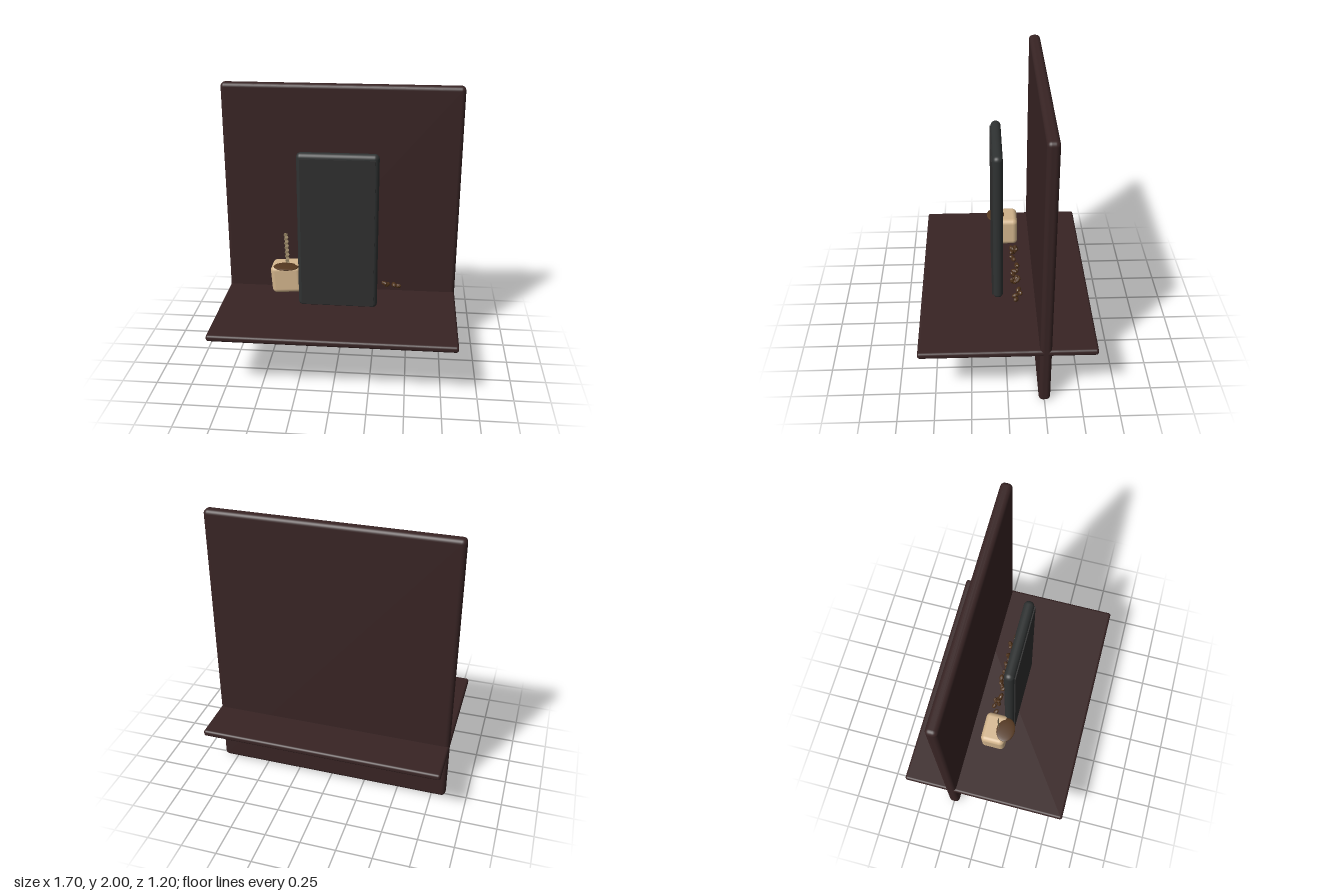
import * as THREE from 'three';
import { RoundedBoxGeometry } from 'three/addons/geometries/RoundedBoxGeometry.js';

const mat = (name, color, extra = {}) => {
  const m = new THREE.MeshStandardMaterial({ color, ...extra });
  m.name = name;
  return m;
};

export function createModel() {
  const model = new THREE.Group();
  const wood = mat('dark wood', 0x382424);
  const body = mat('charcoal body', 0x2f3232);
  const glass = mat('dark glass', 0x2f2f2f);
  const tan = mat('tan cup', 0xd2b48c);
  const coffee = mat('coffee brown', 0x553820);
  const roast = mat('roasted bean', 0x4c3018, { flatShading: true });
  const steamMat = mat('pale steam', 0xa08c6a, { side: THREE.DoubleSide });

  const add = (name, geometry, material, x, y, z, parent = model) => {
    const mesh = new THREE.Mesh(geometry, material);
    mesh.name = name;
    mesh.position.set(x, y, z);
    parent.add(mesh);
    return mesh;
  };
  const slab = (w, h, d, r) => new RoundedBoxGeometry(w, h, d, 4, r);

  // Crossing panels
  add('backWall', slab(1.7, 2, 0.08, 0.03), wood, 0, 1, -0.25);
  add('tableTop', slab(1.7, 0.046, 1.2, 0.018), wood, 0, 0.432, 0);

  // Upright tablet with a raised screen
  add('tabletBody', slab(0.568, 1.15, 0.07, 0.034), body, -0.002, 1.018, 0.051);
  add('tabletScreen', new THREE.BoxGeometry(0.518, 1.09, 0.02), glass, -0.002, 1.011, 0.084);

  // Slightly tilted soft square cup
  const cup = add('cup', slab(0.222, 0.21, 0.175, 0.035), tan, -0.374, 0.633, -0.023);
  cup.rotation.z = 0.07;

  // Coffee surface, a flattened ellipsoid
  const liquid = add('coffeeSurface', new THREE.SphereGeometry(1, 32, 12), coffee, -0.375, 0.737, 0.053);
  liquid.scale.set(0.09, 0.011, 0.067);

  // Thin wavering wisp of steam
  const wisp = new THREE.PlaneGeometry(0.026, 0.24, 1, 32);
  const p = wisp.attributes.position;
  for (let i = 0; i < p.count; i++) {
    const t = p.getY(i) / 0.24 + 0.5;
    p.setX(i, p.getX(i) - 0.008 * t + 0.004 * Math.sin(t * 45));
    p.setZ(i, 0.002 * Math.cos(t * 45));
  }
  wisp.computeVertexNormals();
  add('steam', wisp, steamMat, -0.371, 0.855, 0);

  // Scattered beans: [x, z] of each cluster member
  const beans = new THREE.Group();
  beans.name = 'beans';
  model.add(beans);
  const spots = [
    [-0.2, -0.07], [-0.17, -0.09], [-0.15, -0.06], [-0.13, -0.09], [-0.11, -0.07],
    [-0.09, -0.06], [-0.13, -0.07], [-0.03, -0.06], [-0.01, -0.07], [0.03, -0.09],
    [0.06, -0.095], [0.11, -0.085], [0.14, -0.07], [0.16, -0.06], [0.18, -0.09],
    [0.2, -0.06], [0.22, -0.08], [0.23, -0.05], [0.245, -0.09], [0.24, -0.07],
    [0.33, -0.09], [0.35, -0.1], [0.4, -0.065], [0.43, -0.07],
  ];
  let seed = 7;
  const rnd = () => (seed = (seed * 16807) % 2147483647) / 2147483647;
  const beanGeo = new THREE.SphereGeometry(1, 8, 6);
  spots.forEach(([x, z]) => {
    const far = x > 0.3;
    const y = far ? 0.56 + (rnd() - 0.5) * 0.02 : 0.56 + (rnd() - 0.5) * 0.06;
    const bean = add('bean', beanGeo, roast, x, y, z, beans);
    bean.scale.set(0.026, 0.015, 0.017);
    bean.rotation.set(rnd() * 3, rnd() * 3, (rnd() - 0.5) * 1.2);
  });

  return model;
}
